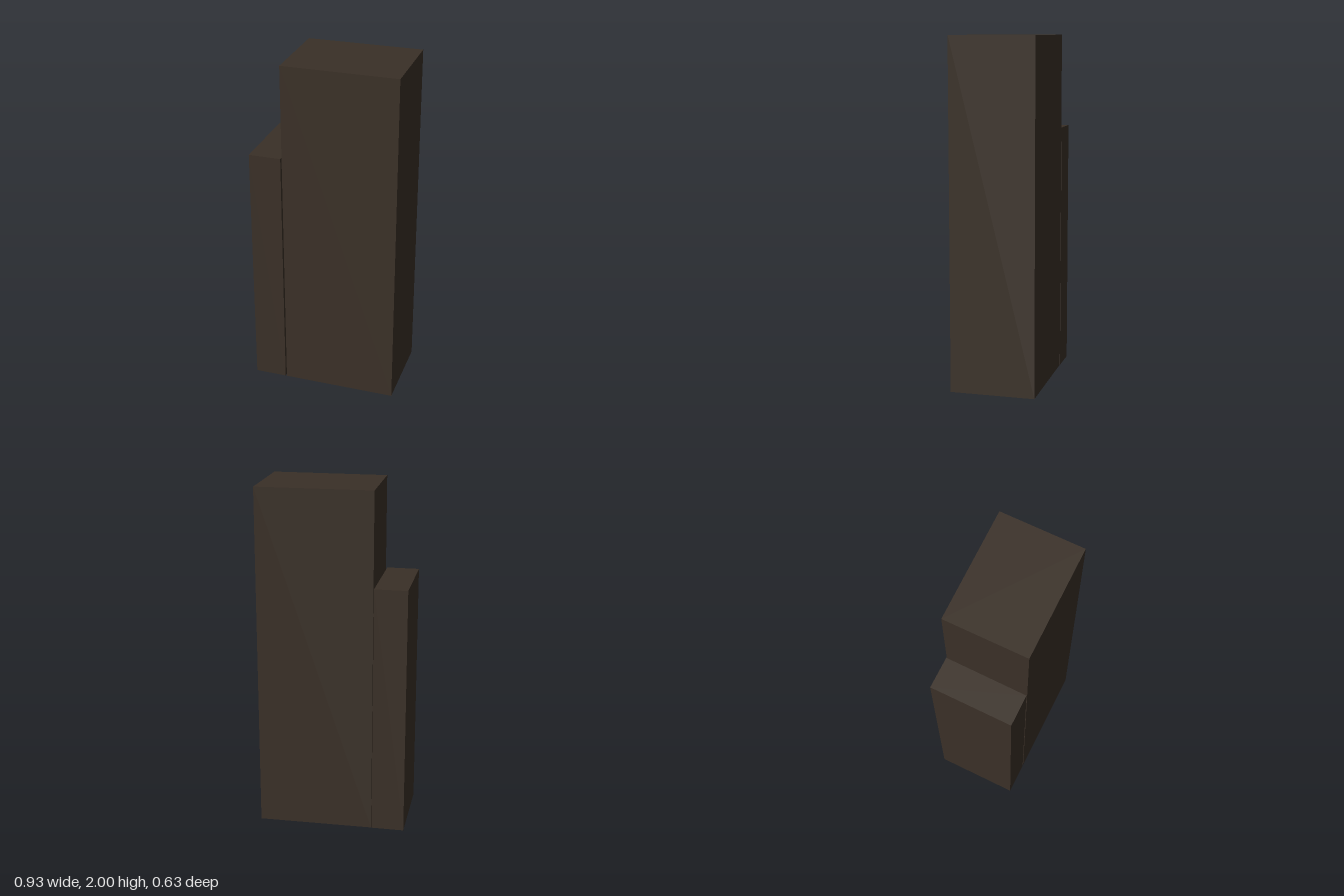
import * as THREE from 'three';

// Hollow block, open underneath: four walls and a roof over a footprint
// of [x, z] corners, listed back-left, back-right, front-right, front-left
function openBlock(name, footprint, height, material) {
  const pos = [];
  const low = footprint.map(([x, z]) => [x, 0, z]);
  const high = footprint.map(([x, z]) => [x, height, z]);
  const quad = (a, b, c, d) => pos.push(...a, ...b, ...c, ...a, ...c, ...d);

  // walls
  for (let i = 0; i < 4; i++) {
    const j = (i + 1) % 4;
    quad(low[i], high[i], high[j], low[j]);
  }
  // roof
  quad(high[0], high[3], high[2], high[1]);

  const geometry = new THREE.BufferGeometry();
  geometry.setAttribute('position', new THREE.Float32BufferAttribute(pos, 3));
  geometry.computeVertexNormals();
  const mesh = new THREE.Mesh(geometry, material);
  mesh.name = name;
  return mesh;
}

export function createModel() {
  const group = new THREE.Group();
  group.name = 'building';

  const darkBrown = new THREE.MeshStandardMaterial({ color: 0x3a3027, side: THREE.DoubleSide });
  darkBrown.name = 'darkBrown';

  // tall main tower
  group.add(openBlock('mainTower',
    [[-0.275, -0.196], [0.378, -0.315], [0.462, 0.166], [-0.191, 0.28]], 2, darkBrown));

  // lower wing, separated from the tower by a narrow gap
  group.add(openBlock('sideWing',
    [[-0.464, -0.165], [-0.278, -0.197], [-0.199, 0.281], [-0.383, 0.313]], 1.457, darkBrown));

  return group;
}
